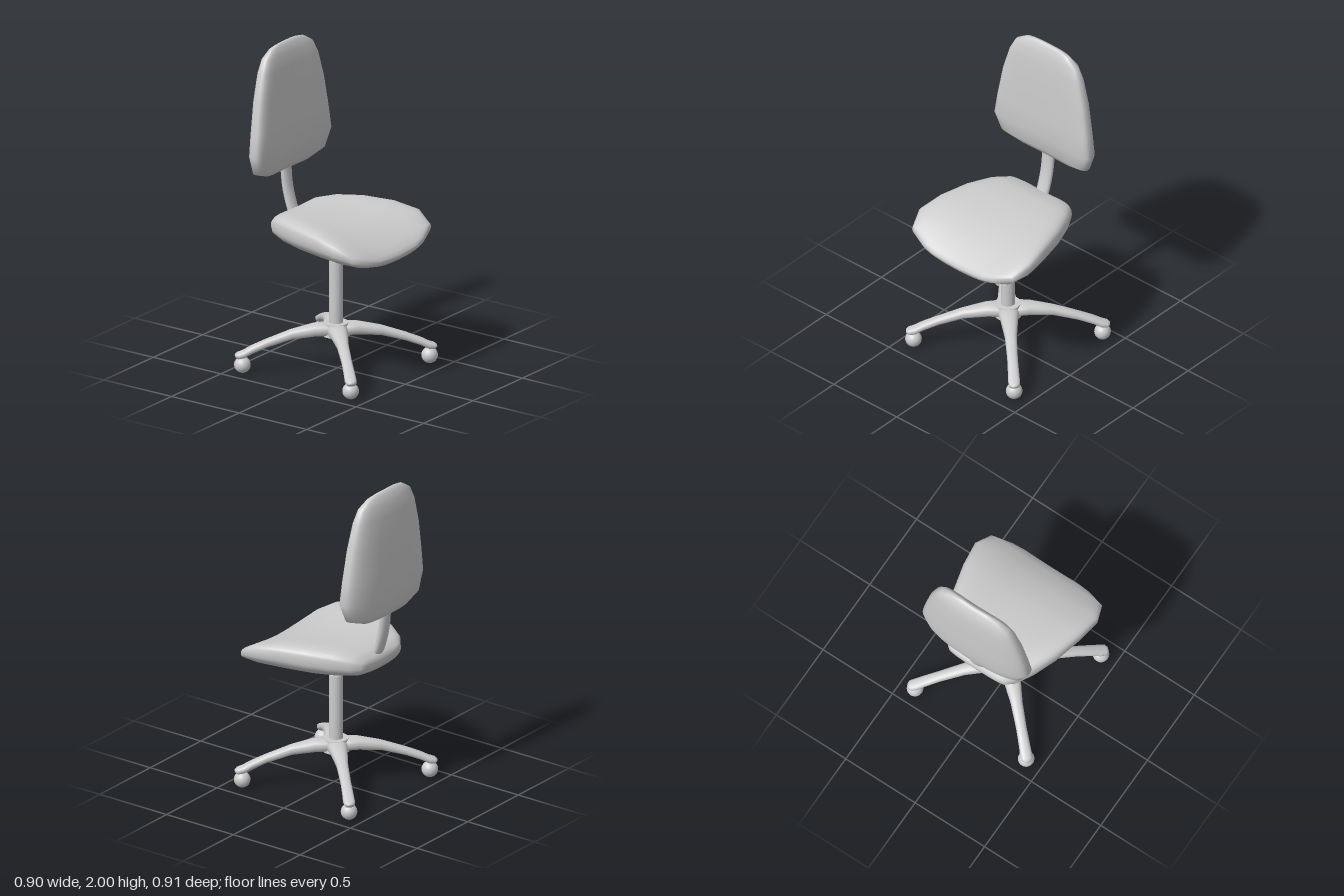
import * as THREE from 'three';

const material = new THREE.MeshStandardMaterial({ color: 0xcccccc });

function addMesh(parent, name, geometry) {
  const mesh = new THREE.Mesh(geometry, material);
  mesh.name = name;
  parent.add(mesh);
  return mesh;
}

// Closed loft along z. Each section is [z, halfWidth, midY, halfHeight];
// powers below 1 square off the oval, bend curls the sides up by bend * x^2.
function loft(sections, segments, powerX, powerY, bend) {
  const shaped = (v, p) => Math.sign(v) * Math.abs(v) ** p;
  const positions = [];
  const index = [];
  for (const [z, w, mid, h] of sections) {
    for (let i = 0; i < segments; i++) {
      const a = (i / segments) * Math.PI * 2;
      const x = w * shaped(Math.cos(a), powerX);
      positions.push(x, mid + h * shaped(Math.sin(a), powerY) + bend * x * x, z);
    }
  }
  const last = (sections.length - 1) * segments;
  for (let s = 0; s < last; s += segments) {
    for (let i = 0; i < segments; i++) {
      const j = (i + 1) % segments;
      index.push(s + i, s + j, s + segments + j, s + i, s + segments + j, s + segments + i);
    }
  }
  // End caps
  const start = positions.length / 3;
  for (const [z, , mid] of [sections[0], sections.at(-1)]) positions.push(0, mid, z);
  for (let i = 0; i < segments; i++) {
    const j = (i + 1) % segments;
    index.push(start, j, i, start + 1, last + i, last + j);
  }
  const geometry = new THREE.BufferGeometry();
  geometry.setAttribute('position', new THREE.Float32BufferAttribute(positions, 3));
  geometry.setIndex(index);
  geometry.computeVertexNormals();
  return geometry;
}

export function createModel() {
  const chair = new THREE.Group();
  chair.name = 'officeChair';

  // Saddle-shaped seat cushion, lofted from back to front
  const seat = loft([
    [-0.355, 0.15, 0.885, 0.015],
    [-0.345, 0.20, 0.88, 0.045],
    [-0.30, 0.255, 0.885, 0.075],
    [-0.20, 0.315, 0.885, 0.095],
    [-0.05, 0.375, 0.878, 0.103],
    [0.13, 0.42, 0.865, 0.10],
    [0.29, 0.443, 0.842, 0.082],
    [0.40, 0.40, 0.812, 0.048],
    [0.44, 0.28, 0.803, 0.03],
    [0.453, 0.20, 0.80, 0.01],
  ], 40, 0.5, 0.7, 0.35);
  addMesh(chair, 'seat', seat).position.x = -0.004;

  // Curved backrest, lofted upwards (local y points backwards)
  const back = loft([
    [1.19, 0.15, 0.385, 0.01],
    [1.20, 0.22, 0.385, 0.03],
    [1.245, 0.34, 0.383, 0.055],
    [1.36, 0.38, 0.38, 0.073],
    [1.50, 0.36, 0.381, 0.07],
    [1.70, 0.325, 0.383, 0.064],
    [1.86, 0.28, 0.383, 0.055],
    [1.94, 0.24, 0.382, 0.042],
    [1.985, 0.17, 0.38, 0.023],
    [2.0, 0.10, 0.378, 0.008],
  ], 40, 0.5, 0.7, -0.25);
  back.rotateX(-Math.PI / 2);
  addMesh(chair, 'backrest', back).position.x = -0.006;

  // Flat bent bar joining seat and backrest
  const path = new THREE.CatmullRomCurve3([
    [0.91, -0.315], [0.97, -0.338], [1.06, -0.363], [1.15, -0.376], [1.26, -0.38],
  ].map(([y, z]) => new THREE.Vector3(0, y, z)));
  const bar = new THREE.TubeGeometry(path, 20, 0.025, 16);
  bar.scale(1.8, 1, 1);
  addMesh(chair, 'backrestBar', bar).position.x = -0.005;

  const base = new THREE.Group();
  base.name = 'base';
  base.position.set(-0.003, 0, -0.011);
  chair.add(base);

  // Gas lift: wide sleeve with a bevelled rim and a thin piston
  const sleeve = [[0.042, 0.24], [0.042, 0.695], [0.034, 0.71], [0, 0.71]];
  addMesh(base, 'liftSleeve', new THREE.LatheGeometry(
    sleeve.map(([r, y]) => new THREE.Vector2(r, y)), 24));
  addMesh(base, 'liftPiston', new THREE.CylinderGeometry(0.022, 0.022, 0.15, 20))
    .position.y = 0.765;
  addMesh(base, 'hub', new THREE.CylinderGeometry(0.075, 0.085, 0.08, 24))
    .position.y = 0.25;

  // Four drooping legs, each on a ball foot
  const legShape = loft([
    [0, 0.07, 0.25, 0.04],
    [0.13, 0.052, 0.248, 0.04],
    [0.27, 0.036, 0.226, 0.031],
    [0.42, 0.032, 0.178, 0.026],
    [0.51, 0.034, 0.142, 0.025],
    [0.56, 0.036, 0.116, 0.024],
    [0.595, 0.033, 0.108, 0.02],
    [0.61, 0.015, 0.108, 0.008],
  ], 20, 0.85, 0.85, 0);
  const ball = new THREE.SphereGeometry(0.05, 24, 16);
  for (let i = 0; i < 4; i++) {
    const leg = new THREE.Group();
    leg.name = 'leg';
    leg.rotation.y = Math.PI / 4 + (i * Math.PI) / 2;
    addMesh(leg, 'legArm', legShape);
    addMesh(leg, 'ballFoot', ball).position.set(0, 0.05, 0.566);
    base.add(leg);
  }

  return chair;
}
